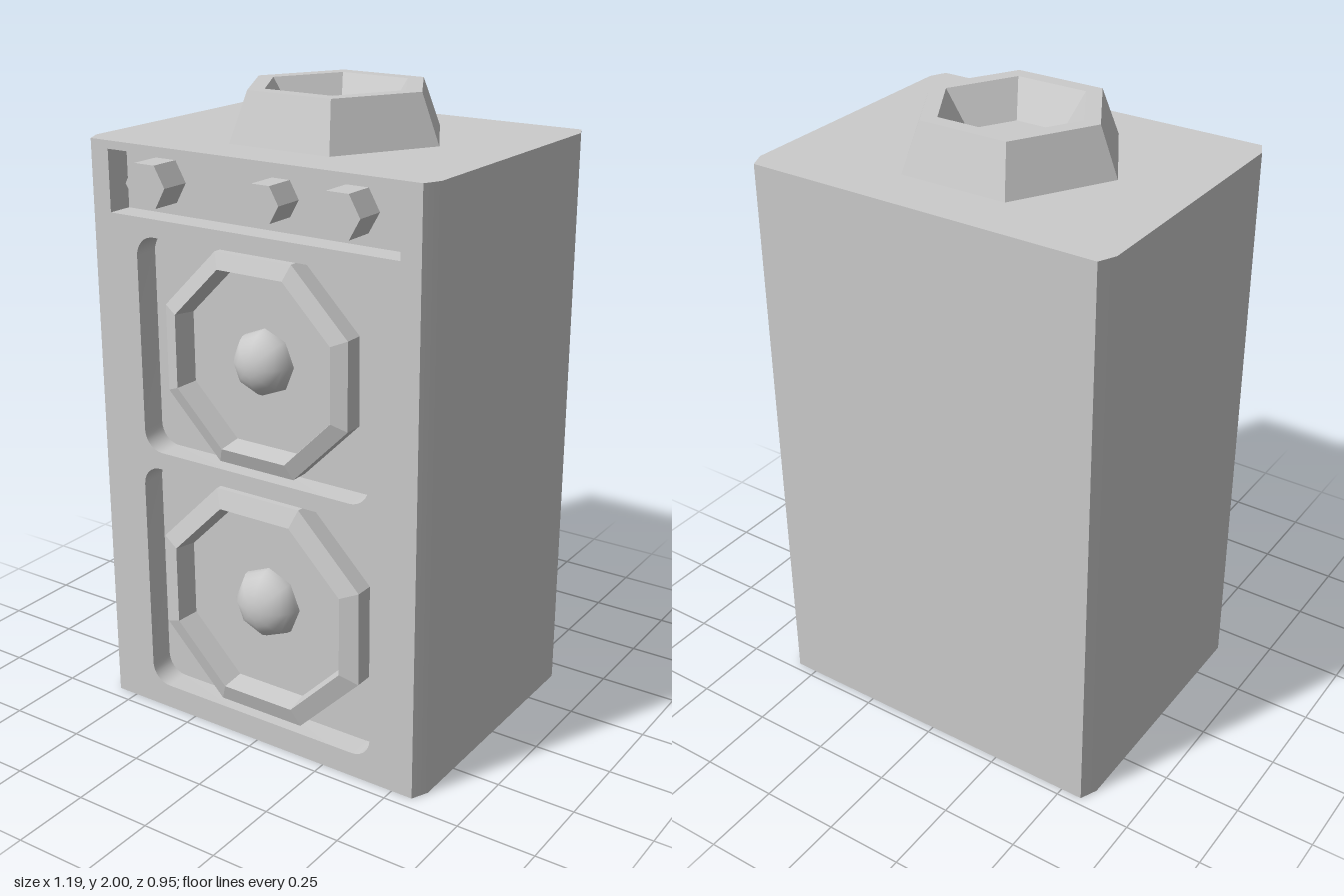
import * as THREE from 'three';
import { toCreasedNormals } from 'three/addons/utils/BufferGeometryUtils.js';

const FRONT = 0.457, FLOOR = 0.375, HEIGHT = 1.85;
const smooth = new THREE.MeshStandardMaterial({ color: 0xcccccc });
const flat = new THREE.MeshStandardMaterial({ color: 0xcccccc, flatShading: true });

function add(parent, name, geometry, material = flat) {
  const mesh = new THREE.Mesh(geometry, material);
  mesh.name = name;
  parent.add(mesh);
  return mesh;
}

// Rectangle with rounded corners, used for the pockets in the front panel
function roundedRect(x0, y0, x1, y1, r) {
  const p = new THREE.Path();
  if (r === 0) {
    p.moveTo(x0, y0).lineTo(x1, y0).lineTo(x1, y1).lineTo(x0, y1).closePath();
    return p;
  }
  p.absarc(x1 - r, y0 + r, r, -Math.PI / 2, 0);
  p.absarc(x1 - r, y1 - r, r, 0, Math.PI / 2);
  p.absarc(x0 + r, y1 - r, r, Math.PI / 2, Math.PI);
  p.absarc(x0 + r, y0 + r, r, Math.PI, Math.PI * 1.5);
  p.closePath();
  return p;
}

// Faceted turned part; profile is [radius, height] pairs
function turned(profile, sides, phase) {
  const points = profile.map(([r, h]) => new THREE.Vector2(r, h));
  return new THREE.LatheGeometry(points, sides, phase);
}

// Octagonal speaker ring with a sunken cone plate and a domed cap
function speaker(name, y, apothem, inner, domeRadius) {
  const group = new THREE.Group();
  group.name = name;
  group.position.set(0, y, FLOOR);
  const k = 1 / Math.cos(Math.PI / 8);
  const ring = turned([
    [apothem * k, 0], [apothem * k, 0.06], [inner * k, 0.078],
    [(inner - 0.012) * k, 0.005], [0, 0.005],
  ], 8, Math.PI / 8);
  add(group, 'speakerRing', ring.rotateX(Math.PI / 2));
  const dome = new THREE.SphereGeometry(domeRadius, 8, 6, 0, Math.PI * 2, 0, Math.PI / 2);
  dome.scale(1, 0.09 / domeRadius, 1).rotateX(Math.PI / 2);
  add(group, 'speakerDome', dome, smooth);
  return group;
}

export function createModel() {
  const model = new THREE.Group();
  model.name = 'speakerCabinet';

  // Cabinet: chamfered footprint with a shallow notch for the front panel
  const footprint = new THREE.Shape([
    [-0.57, FRONT], [-0.595, 0.405], [-0.595, -0.42], [-0.57, -0.475],
    [0.57, -0.475], [0.595, -0.42], [0.595, 0.405], [0.57, FRONT],
    [0.57, FLOOR], [-0.57, FLOOR],
  ].map(([x, z]) => new THREE.Vector2(x, -z)));
  const cabinet = new THREE.ExtrudeGeometry(footprint, { depth: HEIGHT, bevelEnabled: false });
  cabinet.rotateX(-Math.PI / 2);
  add(model, 'cabinet', toCreasedNormals(cabinet, 0.6), smooth);

  // Front panel with two speaker pockets and the control strip
  const face = new THREE.Shape();
  face.moveTo(-0.57, 0).lineTo(0.57, 0).lineTo(0.57, HEIGHT).lineTo(-0.57, HEIGHT).closePath();
  face.holes.push(
    roundedRect(-0.42, 0.08, 0.42, 0.845, 0.065),
    roundedRect(-0.41, 0.9, 0.41, 1.58, 0.065),
    roundedRect(-0.505, 1.635, 0.505, 1.825, 0),
  );
  const panel = new THREE.ExtrudeGeometry(face, {
    depth: FRONT - FLOOR, bevelEnabled: false, curveSegments: 4,
  });
  add(model, 'frontPanel', toCreasedNormals(panel, 0.6), smooth).position.z = FLOOR;

  // Speakers
  model.add(speaker('lowerSpeaker', 0.457, 0.365, 0.307, 0.115));
  model.add(speaker('upperSpeaker', 1.24, 0.325, 0.277, 0.103));

  // Hexagonal control knobs
  for (const [x, r] of [[-0.355, 0.073], [0.06, 0.061], [0.315, 0.073]]) {
    const knob = new THREE.CylinderGeometry(r, r, 0.097, 6);
    knob.rotateY(Math.PI / 2).rotateX(Math.PI / 2);
    add(model, 'knob', knob).position.set(x, 1.735, FLOOR + 0.0485);
  }

  // Hexagonal horn on top with a recessed cup
  const horn = turned([[0.35, 0], [0.29, 0.15], [0.235, 0.15], [0.16, 0.04], [0, 0.04]], 6, 0);
  add(model, 'topHorn', horn.rotateY(Math.PI / 2)).position.y = HEIGHT;

  return model;
}
